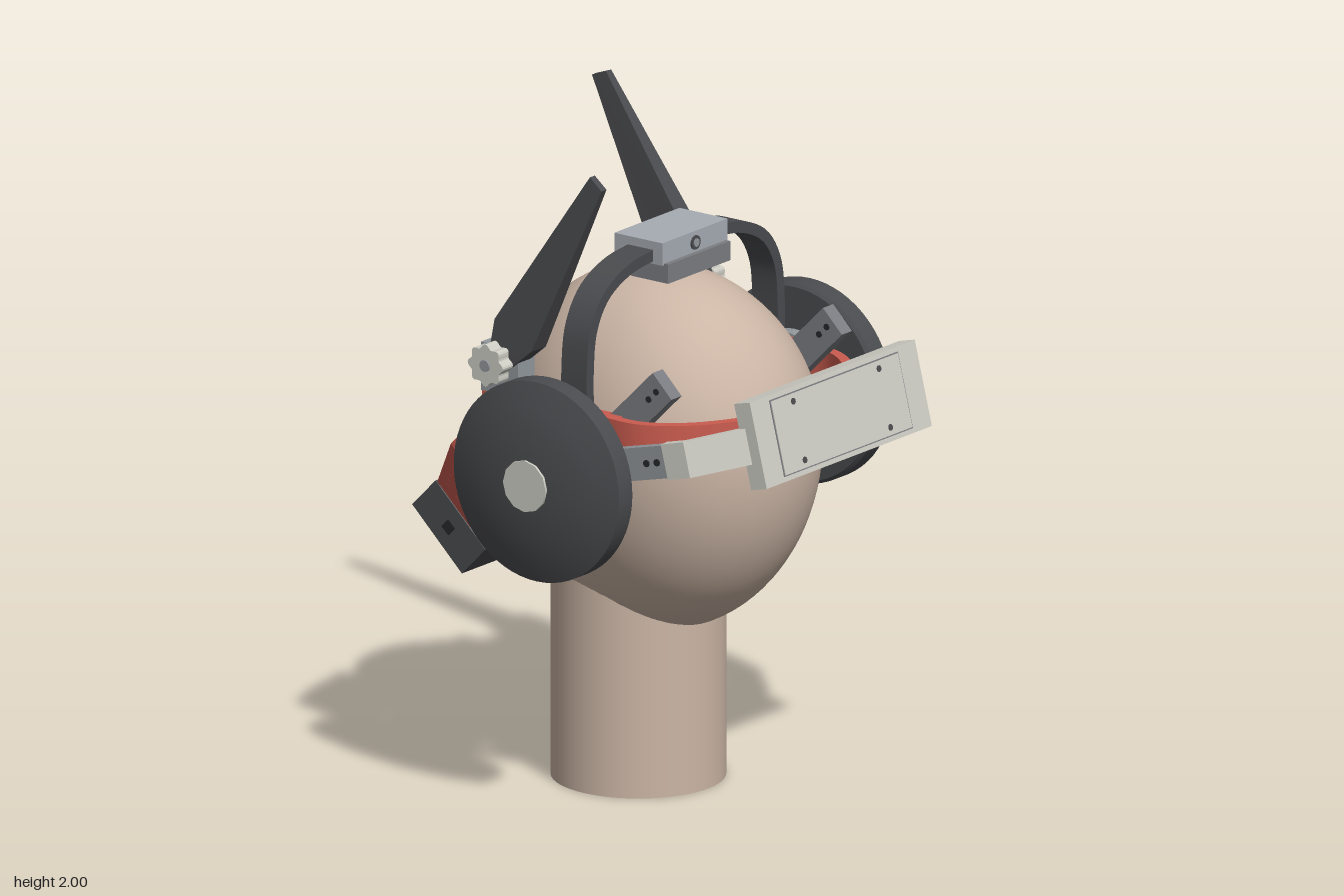
import * as THREE from 'three';
import { toCreasedNormals } from 'three/addons/utils/BufferGeometryUtils.js';

const mat = (name, color) => Object.assign(new THREE.MeshStandardMaterial({ color }), { name });
const M = {
  skin: mat('skin', 0xcbb5a5), red: mat('coral red', 0xcb5c4f), dark: mat('charcoal', 0x4a4b4e),
  black: mat('black', 0x26272a), mid: mat('mid grey', 0x7b7d82), grey: mat('grey', 0x92979c),
  pale: mat('pale grey', 0xa6acb3), white: mat('off white', 0xcdcdc4), maroon: mat('dark red', 0x8a3d34),
};

function add(parent, name, geo, material, x = 0, y = 0, z = 0, rz = 0) {
  const m = new THREE.Mesh(geo, material);
  m.name = name;
  m.position.set(x, y, z);
  m.rotation.z = rz;
  parent.add(m);
  return m;
}
const box = (w, h, d) => new THREE.BoxGeometry(w, h, d);
// cylinder along z
const disc = (r, h, n = 32) => new THREE.CylinderGeometry(r, r, h, n).rotateX(Math.PI / 2);
// cylinder along x
const stud = (r, h) => new THREE.CylinderGeometry(r, r, h, 16).rotateZ(Math.PI / 2);

// strip of constant thickness following a path of [a, b] points, extruded to a height
function strip(pts, thick, height) {
  const p = pts.map(([a, b]) => new THREE.Vector2(a, b));
  const sideA = [], sideB = [];
  p.forEach((q, i) => {
    const d0 = q.clone().sub(p[Math.max(i - 1, 0)]).normalize();
    const d1 = p[Math.min(i + 1, p.length - 1)].clone().sub(q).normalize();
    const t = d0.clone().add(d1).normalize();
    const n = new THREE.Vector2(-t.y, t.x);
    const k = thick / 2 / Math.max(0.5, t.dot(i ? d0 : d1));
    sideA.push(q.clone().addScaledVector(n, k));
    sideB.unshift(q.clone().addScaledVector(n, -k));
  });
  const geo = new THREE.ExtrudeGeometry(new THREE.Shape([...sideA, ...sideB]), { depth: height, bevelEnabled: false });
  return toCreasedNormals(geo.translate(0, 0, -height / 2), 0.45);
}
// strip lying round the head: points are [x, z]
const band = (pts, thick, height) =>
  strip(pts.map(([x, z]) => [x, -z]), thick, height).rotateX(-Math.PI / 2);
const smooth = (pts, n) => new THREE.CatmullRomCurve3(pts.map(([a, b]) => new THREE.Vector3(a, b, 0)))
  .getPoints(n).map(v => [v.x, v.y]);
const mirrored = half => [...half, ...half.slice(0, -1).reverse().map(([a, b]) => [a, -b])];

function headGeometry() {
  const g = new THREE.SphereGeometry(1, 72, 48), p = g.attributes.position;
  for (let i = 0; i < p.count; i++) {
    const x = p.getX(i), y = p.getY(i), z = p.getZ(i);
    p.setXYZ(i, 0.05 + x * 0.512, 1.08 + y * (y > 0 ? 0.52 : 0.6), z * 0.39 * (1 + 0.15 * Math.max(0, x)));
  }
  g.computeVertexNormals();
  return g;
}

// flat tapering antenna blade, pointing up from its foot
function bladeGeometry() {
  const s = new THREE.Shape([[-0.035, -0.02], [0.035, -0.02], [0.08, 0.1], [0.028, 0.69], [-0.028, 0.7], [-0.078, 0.1]]
    .map(([x, y]) => new THREE.Vector2(x, y)));
  const g = new THREE.ExtrudeGeometry(s, { depth: 0.08, bevelEnabled: false }).translate(0, 0, -0.04);
  const p = g.attributes.position;
  for (let i = 0; i < p.count; i++) p.setZ(i, p.getZ(i) * (1 - Math.max(0, p.getY(i))));
  g.computeVertexNormals();
  return g;
}

function knobGeometry() {
  const pts = [];
  for (let i = 0; i < 64; i++) {
    const a = i / 64 * Math.PI * 2, r = 0.06 + 0.006 * Math.cos(a * 8);
    pts.push(new THREE.Vector2(r * Math.cos(a), r * Math.sin(a)));
  }
  return new THREE.ExtrudeGeometry(new THREE.Shape(pts), { depth: 0.05, bevelEnabled: false }).translate(0, 0, -0.025);
}

// ear cup, hub and antenna for one side; s is the sign of z
function sideUnit(s) {
  const g = new THREE.Group();
  g.name = s > 0 ? 'nearSideUnit' : 'farSideUnit';
  const hx = 0.1, hy = 1.093;
  const cup = [[0, 0.595], [0.3, 0.595], [0.31, 0.605], [0.31, 0.67], [0.24, 0.695], [0.16, 0.713], [0.08, 0.722], [0, 0.724]]
    .map(([r, z]) => new THREE.Vector2(r, z));
  add(g, 'earCup', toCreasedNormals(new THREE.LatheGeometry(cup, 64).rotateX(s * Math.PI / 2), 0.4), M.dark, hx, hy);
  add(g, 'cupCap', disc(0.08, 0.02, 12), M.white, hx, hy, s * 0.72);
  add(g, 'cupBackPlate', disc(0.17, 0.045, 48), M.grey, hx, hy, s * 0.575);
  add(g, 'hub', disc(0.08, 0.14), M.grey, hx, hy, s * 0.49);
  add(g, 'hubBlock', box(0.2, 0.24, 0.08), M.red, hx, 1.15, s * 0.47);
  add(g, 'sideRail', box(0.5, 0.09, 0.03), M.red, 0, 1.225, s * 0.46);
  add(g, 'sidePlate', box(0.22, 0.25, 0.03), M.red, -0.14, 1.155, s * 0.465);

  // diagonal pad bar with screws
  const bar = new THREE.Group();
  bar.name = 'padBar';
  bar.position.set(hx, hy, s * 0.418);
  bar.rotation.z = Math.PI / 4;
  add(bar, 'bar', box(0.44, 0.1, 0.05), M.mid, 0.2);
  for (const x of [0.35, 0.39]) add(bar, 'barScrew', disc(0.01, 0.056, 12), M.black, x);
  g.add(bar);

  // antenna
  add(g, 'antennaBracket', box(0.14, 0.15, 0.08), M.grey, -0.18, 1.345, s * 0.445);
  add(g, 'antennaAxle', disc(0.03, 0.06, 16), M.mid, -0.18, 1.375, s * 0.49);
  add(g, 'knob', knobGeometry(), M.white, -0.18, 1.375, s * 0.53);
  add(g, 'knobCentre', disc(0.018, 0.008, 16), M.grey, -0.18, 1.375, s * 0.557);
  add(g, 'antenna', bladeGeometry(), M.dark, -0.17, 1.38, s * 0.462, s > 0 ? -0.515 : 0.53);

  // ear
  add(g, 'ear', new THREE.SphereGeometry(1, 32, 24).scale(0.075, 0.165, 0.048), M.skin, -0.01, 0.94, s * 0.435);
  return g;
}

// tilted front display on two cranked arms
function visor() {
  const g = new THREE.Group();
  g.name = 'visor';
  g.position.set(0.1, 1.1, 0);
  g.rotation.z = 0.245;
  add(g, 'visorPanel', box(0.06, 0.265, 0.81), M.white, 0.618);
  add(g, 'visorSeam', box(0.004, 0.235, 0.63), M.mid, 0.648);
  add(g, 'visorCover', box(0.006, 0.227, 0.622), M.white, 0.649);
  for (const y of [-0.09, 0.09]) for (const z of [-0.21, 0.21]) add(g, 'visorScrew', stud(0.01, 0.008), M.dark, 0.65, y, z);
  for (const s of [1, -1]) {
    add(g, 'visorArm', box(0.42, 0.1, 0.035), M.grey, 0.25, 0, s * 0.53);
    add(g, 'visorArmElbow', band([[0.4, s * 0.535], [0.475, s * 0.53], [0.6, s * 0.395]], 0.035, 0.11), M.white);
    for (const x of [0.33, 0.37]) add(g, 'armScrew', disc(0.011, 0.044, 12), M.black, x, 0, s * 0.53);
  }
  return g;
}

// lowered rear yoke carrying the battery box
function rearUnit() {
  const g = new THREE.Group();
  g.name = 'rearUnit';
  g.position.set(-0.2, 1.13, 0);
  g.rotation.z = 0.8;
  for (const s of [1, -1]) {
    add(g, 'rearYoke', band([[0.0, s * 0.462], [-0.15, s * 0.462], [-0.42, s * 0.28], [-0.455, s * 0.12]], 0.03, 0.17), M.red);
    const slope = Math.atan2(0.182, 0.27);
    for (let i = 0; i < 7; i++) for (const y of [-0.045, 0, 0.045]) {
      const t = (i + 0.8) / 8;
      const slot = add(g, 'yokeSlot', box(0.02, 0.012, 0.034), M.maroon, -0.15 - 0.27 * t, y, s * (0.462 - 0.182 * t));
      slot.rotation.y = s * slope;
    }
    const path = new THREE.CatmullRomCurve3([[-0.08, 0.43], [-0.17, 0.41], [-0.38, 0.265], [-0.43, 0.12]]
      .map(([x, z]) => new THREE.Vector3(x, 0.05, s * z)));
    add(g, 'cable', new THREE.TubeGeometry(path, 24, 0.009, 8), M.white);
  }
  add(g, 'innerPad', box(0.06, 0.17, 0.24), M.mid, -0.425);
  add(g, 'batteryMount', box(0.1, 0.22, 0.3), M.pale, -0.5);
  add(g, 'batteryBox', box(0.125, 0.26, 0.305), M.dark, -0.61);
  for (const z of [-0.09, 0, 0.09])
    add(g, 'port', new THREE.CylinderGeometry(0.024, 0.024, 0.008, 20), M.black, -0.615, 0.13, z);
  for (const z of [-0.09, 0.09])
    add(g, 'mountScrew', new THREE.CylinderGeometry(0.014, 0.014, 0.008, 16), M.dark, -0.5, 0.11, z);
  for (const s of [1, -1]) add(g, 'sidePort', box(0.035, 0.035, 0.008), M.black, -0.61, 0, s * 0.152);
  return g;
}

export function createModel() {
  const model = new THREE.Group();
  model.name = 'headWithHeadset';

  // dummy head
  add(model, 'head', headGeometry(), M.skin);
  add(model, 'neck', new THREE.CylinderGeometry(0.262, 0.262, 0.8, 48), M.skin, -0.03, 0.4);

  // brow band and its pad
  const half = [[0.15, 0.462], [0.33, 0.468], [0.45, 0.395], [0.555, 0.24], [0.61, 0.1], [0.622, 0]];
  add(model, 'browBand', band(smooth(mirrored(half), 56), 0.032, 0.09), M.red, 0, 1.225);
  add(model, 'browPad', band(smooth(mirrored([[0.54, 0.205], [0.572, 0.1], [0.585, 0]]), 16), 0.036, 0.09), M.mid, 0, 1.225);

  // strap over the crown, as [z, y] points
  const arch = [[0.465, 1.2], [0.468, 1.4], [0.45, 1.52], [0.39, 1.61], [0.28, 1.665], [0.14, 1.685]];
  const full = [...smooth(arch, 24), ...smooth(arch, 24).reverse().map(([z, y]) => [-z, y])];
  add(model, 'crownStrap', strip(full, 0.035, 0.095).rotateY(Math.PI / 2), M.dark, 0.1);
  add(model, 'crownBox', box(0.18, 0.07, 0.32), M.pale, 0.092, 1.692);
  add(model, 'crownBoxBase', box(0.14, 0.06, 0.305), M.mid, 0.128, 1.632);
  add(model, 'crownBolt', stud(0.022, 0.19), M.dark, 0.092, 1.692);
  add(model, 'crownBoltCentre', stud(0.013, 0.196), M.grey, 0.092, 1.692);

  model.add(sideUnit(1), sideUnit(-1), visor(), rearUnit());
  return model;
}
